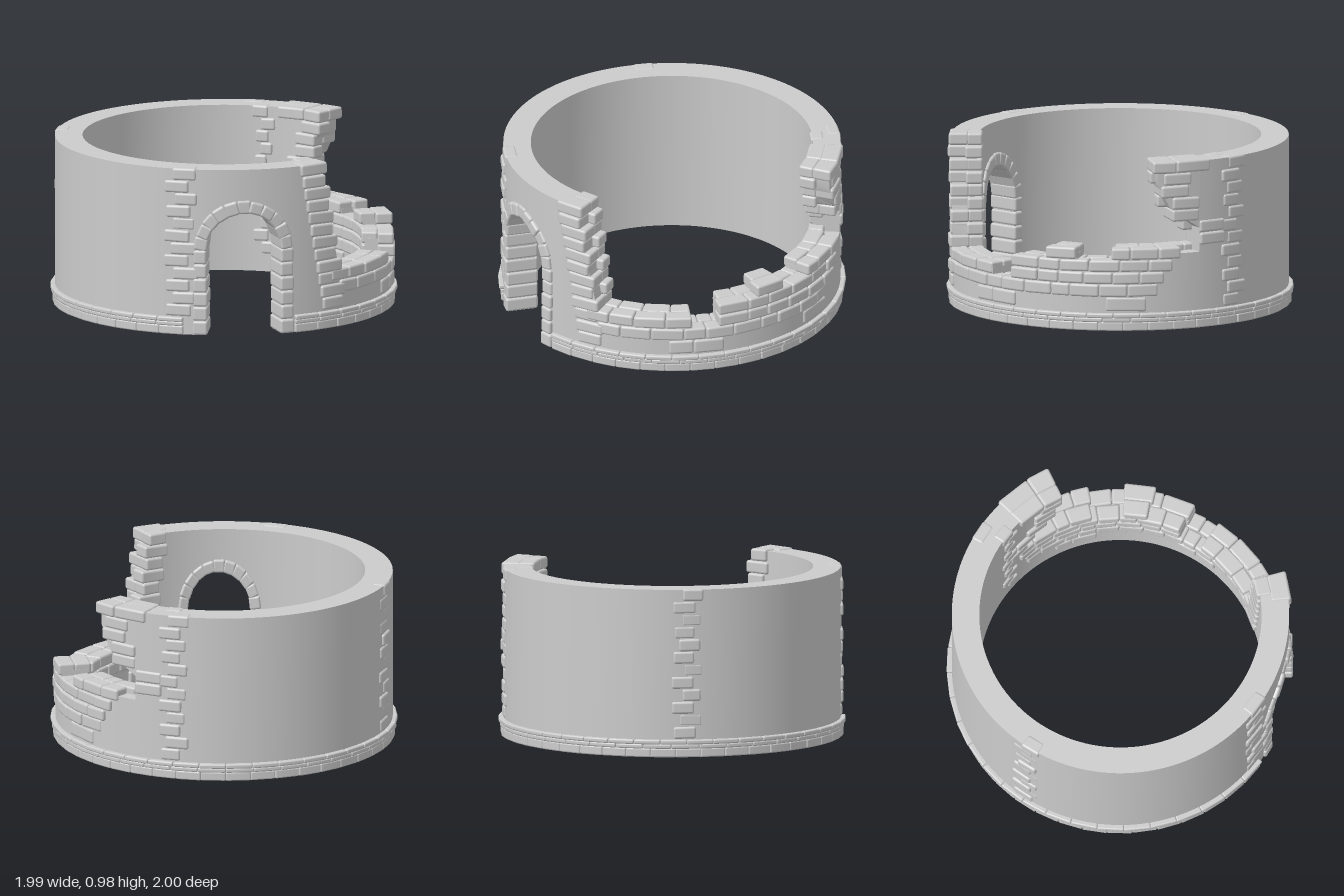
import * as THREE from 'three';
import { mergeGeometries, toCreasedNormals } from 'three/addons/utils/BufferGeometryUtils.js';
import { RoundedBoxGeometry } from 'three/addons/geometries/RoundedBoxGeometry.js';

// Angles are degrees around y, measured from the front (+z) towards +x.
const RAD = Math.PI / 180, OUT = 0.968, INN = 0.81, TOP = 0.97;
const ARC = OUT * RAD; // arc length per degree
const DOOR = 20.7, HALF = 0.22, SPRING = 0.5;

let seed = 7;
const rnd = (a, b) => {
  seed = (seed * 16807) % 2147483647;
  return a + (b - a) * (seed / 2147483647);
};

// Rounded block laid out flat (arc length, height, radius), then bent round the ring
function block(deg, y, w, h, r0, r1, rot = 0, edge = 0.014) {
  const d = r1 - r0;
  const g = new RoundedBoxGeometry(w, h, d, 2, Math.min(edge, w * 0.45, h * 0.45, d * 0.45));
  g.rotateZ(rot);
  g.translate(0, y, (r0 + r1) / 2);
  const p = g.attributes.position, n = g.attributes.normal;
  for (let i = 0; i < p.count; i++) {
    const a = (deg + p.getX(i) / ARC) * RAD, r = p.getZ(i), s = Math.sin(a), c = Math.cos(a);
    p.setXYZ(i, r * s, p.getY(i), r * c);
    const nx = n.getX(i), nz = n.getZ(i);
    n.setXYZ(i, nx * c + nz * s, n.getY(i), nz * c - nx * s);
  }
  return g;
}

// Slightly irregular stone between two angles and two heights
const stone = (a0, a1, y0, y1, r0, r1) =>
  block((a0 + a1) / 2, (y0 + y1) / 2, (a1 - a0) * ARC - 0.002, y1 - y0 - 0.002,
    r0, r1 + rnd(-0.007, 0.007), rnd(-0.025, 0.025));

// Course of stones of varied length filling an angle range
function course(list, a0, a1, y0, y1, r0, r1, size) {
  const n = Math.max(1, Math.round((a1 - a0) / size));
  const step = (a1 - a0) / n;
  let a = a0;
  for (let i = 1; i <= n; i++) {
    const b = i === n ? a1 : a0 + step * (i + rnd(-0.2, 0.2));
    list.push(stone(a, b, y0, y1, r0, r1));
    a = b;
  }
}

// Curved wall from stations [angle, bottom, top]; equal angles make a vertical step
function wallPiece(stations) {
  const secs = [];
  stations.forEach((s, i) => {
    const prev = stations[i - 1];
    const n = prev ? Math.max(1, Math.ceil((s[0] - prev[0]) / 2.5)) : 1;
    for (let k = 1; k <= n; k++) {
      const [a, b, t] = prev ? s.map((v, j) => prev[j] + ((v - prev[j]) * k) / n) : s;
      const sx = Math.sin(a * RAD), cz = Math.cos(a * RAD);
      secs.push([[OUT, b], [OUT, t], [INN, t], [INN, b]].map(([r, y]) => [r * sx, y, r * cz]));
    }
  });
  const pos = [];
  const quad = (a, b, c, d) => pos.push(...a, ...b, ...c, ...a, ...c, ...d);
  for (let i = 0; i + 1 < secs.length; i++) {
    const A = secs[i], B = secs[i + 1];
    for (let k = 0; k < 4; k++) quad(A[k], B[k], B[(k + 1) % 4], A[(k + 1) % 4]);
  }
  const S = secs[0], E = secs[secs.length - 1];
  quad(S[0], S[1], S[2], S[3]);
  quad(E[3], E[2], E[1], E[0]);
  const g = new THREE.BufferGeometry();
  g.setAttribute('position', new THREE.Float32BufferAttribute(pos, 3));
  return toCreasedNormals(g, 0.5);
}

export function createModel() {
  const model = new THREE.Group();
  model.name = 'ruinedRoundTower';
  const material = new THREE.MeshStandardMaterial({ color: 0xcccccc });
  const add = (name, geos) => {
    const mesh = new THREE.Mesh(mergeGeometries(geos), material);
    mesh.name = name;
    model.add(mesh);
  };

  // Wall: round the back and right, over the doorway, then down to the low ruined side
  const arch = [];
  for (let i = 0; i <= 16; i++) {
    const t = (i / 16) * Math.PI;
    arch.push([360 + DOOR - (HALF * Math.cos(t)) / ARC, SPRING + HALF * Math.sin(t), TOP]);
  }
  const d0 = arch[0][0], d1 = arch[16][0];
  add('wall', [
    wallPiece([
      [167, 0, TOP], [d0, 0, TOP], ...arch, [d1, 0, TOP],
      [408, 0, TOP], [416, 0, 0.4], [416, 0, 0.31], [450, 0, 0.31], [450, 0, 0.24],
      [460, 0, 0.24], [460, 0, 0.37], [474, 0, 0.37], [474, 0, 0.44], [484, 0, 0.44],
      [484, 0, 0.37], [497, 0, 0.37], [497, 0, 0.44], [527, 0, 0.44],
    ]),
    // overhanging broken end at the back
    wallPiece([[152, 0.85, 0.96], [156, 0.71, 0.96], [160, 0.66, TOP], [167, 0.58, TOP]]),
  ]);

  // Base moulding: three stone bands, interrupted by the doorway
  const base = [];
  for (const [y0, y1, r, n] of [[0, 0.052, 0.987, 38], [0.05, 0.077, 0.993, 34], [0.075, 0.102, 0.999, 36]]) {
    const step = (360 - 38.5) / n;
    for (let i = 0; i < n; i++) {
      base.push(block(38.5 + step * (i + 0.5), (y0 + y1) / 2, step * ARC, y1 - y0,
        0.93, r - rnd(0, 0.004), 0, 0.009));
    }
  }
  add('baseMoulding', base);

  // Doorway surround: jamb stones and arch stones
  const door = [], rows = 6, stones = 11, thick = 0.075;
  for (const side of [-1, 1]) {
    for (let i = 0; i < rows; i++) {
      const h = SPRING / rows;
      door.push(block(DOOR + (side * (HALF + thick / 2 - 0.005)) / ARC, h * (i + 0.5),
        thick + rnd(0, 0.015), h - 0.002, 0.795, 0.985 + rnd(-0.006, 0.006)));
    }
  }
  for (let i = 0; i < stones; i++) {
    const t = ((i + 0.5) / stones) * Math.PI, r = HALF + thick / 2 - 0.008;
    door.push(block(DOOR + (r * Math.cos(t)) / ARC, SPRING + r * Math.sin(t),
      thick + rnd(-0.006, 0.006), (r * Math.PI) / stones + 0.008, 0.795,
      0.985 + rnd(-0.006, 0.006), t));
  }
  add('doorSurround', door);

  // Low ruined courses: [bottom, top, start, outer end, inner end]
  const low = [];
  for (const [y0, y1, a0, a1, a2] of [
    [0.11, 0.195, 82, 101, 101], [0.11, 0.195, 134, 148, 153],
    [0.195, 0.27, 57, 152, 167], [0.27, 0.34, 53, 90, 90], [0.27, 0.34, 99, 154, 168],
    [0.34, 0.41, 99, 157, 171], [0.41, 0.48, 113, 124, 124], [0.41, 0.48, 136, 160, 171],
  ]) {
    course(low, a0, a1, y0, y1, 0.885, 0.982, 9.5);
    course(low, a0 + 1, a2, y0, y1, 0.79, 0.887, 8.5);
  }
  add('lowWallStones', low);

  // Broken edge beside the doorway, leaning outwards towards the bottom
  const front = [], H = 0.0725;
  for (let i = 0; i < 12; i++) {
    const y = 0.11 + i * H, e = 58.5 - i * 0.8 + (i % 2) * 1.5;
    front.push(stone(e - 9 - (i % 2) * 1.5, e, y, y + H, 0.87, 0.983));
    front.push(stone(e - 8, e + 3 - (i % 2) * 3, y, y + H, 0.79, 0.885));
  }
  add('frontBrokenEdge', front);

  // Broken edge at the back: start angle of each course from the notch upwards
  const back = [];
  [167, 165, 157, 155, 153, 152, 150].forEach((e, i) => {
    const y = 0.48 + i * 0.0715, end = i === 6 ? 171 : e + 10;
    const s = (i % 2) * 2;
    course(back, e + s, end + s, y, y + 0.0715, 0.875, 0.982, 9);
    course(back, e - s, end - s, y, y + 0.0715, 0.79, 0.885, 9);
  });
  add('backBrokenEdge', back);

  // Ragged vertical strips of stones set into the face of the wall
  const strip = (name, centre, r0, r1, width) => {
    const list = [];
    for (let i = 0; i < 12; i++) {
      const y = 0.105 + i * H, c = centre + (i % 2 ? 1.3 : -1.3) + rnd(-0.7, 0.7);
      const w = width + rnd(-1, 1);
      list.push(stone(c - w / 2, c + w / 2, y, y + H, r0, r1));
    }
    add(name, list);
  };
  strip('frontStoneStrip', -1, 0.9, 0.979, 8.5);
  strip('backStoneStrip', 181, 0.9, 0.979, 7.5);
  strip('sideStoneStrip', 271, 0.9, 0.977, 7);
  strip('backInnerStrip', 177, 0.797, 0.87, 6);

  return model;
}
